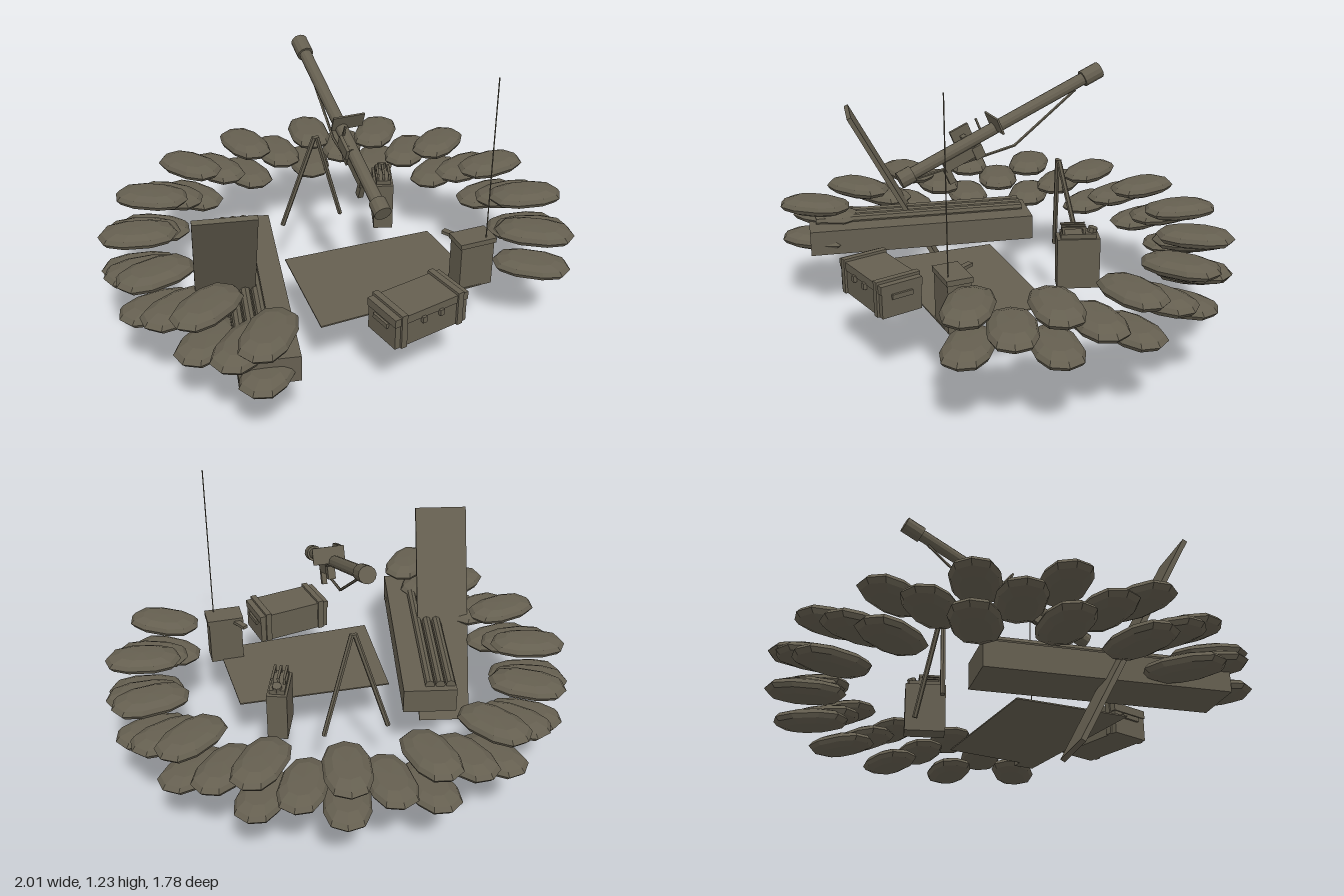
import * as THREE from 'three';

export function createModel() {
  const model = new THREE.Group();
  const drab = new THREE.MeshStandardMaterial({ color: 0x655f50, flatShading: true });
  drab.name = 'olive drab';
  const FLOOR = 0.305;

  const add = (parent, name, geo, x = 0, y = 0, z = 0) => {
    const m = new THREE.Mesh(geo, drab);
    m.name = name;
    m.position.set(x, y, z);
    parent.add(m);
    return m;
  };
  const box = (parent, name, w, h, d, x, y, z) =>
    add(parent, name, new THREE.BoxGeometry(w, h, d), x, y, z);
  const group = (name, x, y, z, ry = 0) => {
    const g = new THREE.Group();
    g.name = name;
    g.position.set(x, y, z);
    g.rotation.y = ry;
    model.add(g);
    return g;
  };
  const rod = (parent, name, a, b, r, sides = 6) => {
    const p = new THREE.Vector3(...a), q = new THREE.Vector3(...b);
    const dir = q.clone().sub(p);
    const m = add(parent, name, new THREE.CylinderGeometry(r, r, dir.length(), sides));
    m.position.copy(p).add(q).multiplyScalar(0.5);
    m.quaternion.setFromUnitVectors(new THREE.Vector3(0, 1, 0), dir.normalize());
    return m;
  };

  // Sandbag: flat-topped pillow, long along z, squared off a little
  const bagGeo = new THREE.LatheGeometry(
    [[0, -0.037], [0.6, -0.034], [0.9, -0.018], [1, 0], [0.9, 0.018], [0.6, 0.034], [0, 0.037]]
      .map(([r, y]) => new THREE.Vector2(r, y)), 10);
  const p = bagGeo.attributes.position;
  for (let i = 0; i < p.count; i++) {
    const x = p.getX(i), z = p.getZ(i), r = Math.hypot(x, z);
    if (r < 1e-6) continue;
    const c = x / r, s = z / r;
    p.setX(i, 0.096 * r * Math.sign(c) * Math.abs(c) ** 0.75);
    p.setZ(i, 0.163 * r * Math.sign(s) * Math.abs(s) ** 0.85);
  }
  bagGeo.computeVertexNormals();

  // Three staggered courses, open at the front
  const wall = group('sandbagWall', 0, 0, 0.05);
  const step = Math.PI / 16;
  [0.345, 0.423, 0.503].forEach((y, row) => {
    const first = row === 1 ? -12 : -13, last = row === 1 ? 10 : 11;
    for (let k = first; k <= last; k += 2) {
      const end = k <= -12;
      const a = k === -13 ? -2.47 : k * step;
      const rx = end ? 0.87 : 0.84, rz = end ? 0.87 : 0.79;
      const bag = add(wall, 'sandbag', bagGeo, rx * Math.sin(a), y, -rz * Math.cos(a));
      bag.rotation.y = Math.atan2(Math.sin(a), -Math.cos(a)) + 0.05 * Math.sin(k * 5 + row);
    }
  });

  // Ground sheet
  const sheet = new THREE.Shape([[-0.23, -0.02], [-0.26, -0.52], [0.46, -0.495], [0.44, -0.04]]
    .map(([x, y]) => new THREE.Vector2(x, y)));
  const mat = add(model, 'groundSheet',
    new THREE.ExtrudeGeometry(sheet, { depth: 0.006, bevelEnabled: false }), 0, FLOOR, 0);
  mat.rotation.x = -Math.PI / 2;

  // Long crate with tubes lying along one side
  const longCrate = group('longCrate', -0.446, FLOOR, 0.272, -0.21);
  box(longCrate, 'crateBody', 0.23, 0.11, 1.0, 0, 0.055, 0);
  for (const x of [-0.09, -0.045, 0])
    rod(longCrate, 'storedTube', [x, 0.118, -0.47], [x, 0.118, 0.47], 0.021, 8);

  // Crate lid leaning across the crate
  const lid = box(model, 'crateLid', 0.235, 1.0, 0.02, -0.578, 0.446, 0.312);
  const up = new THREE.Vector3(-0.095, 0.885, 0.455).normalize();
  const side = new THREE.Vector3(0.978, 0, 0.208);
  side.addScaledVector(up, -side.dot(up)).normalize();
  lid.quaternion.setFromRotationMatrix(
    new THREE.Matrix4().makeBasis(side, up, side.clone().cross(up)));

  // Small crate with battens and latches
  const crate = group('smallCrate', 0.1, FLOOR, 0.63, 0.2);
  box(crate, 'crateBody', 0.344, 0.1, 0.175, 0, 0.05, 0);
  box(crate, 'crateTop', 0.35, 0.035, 0.182, 0, 0.119, 0);
  for (const s of [-1, 1]) {
    box(crate, 'batten', 0.026, 0.148, 0.195, s * 0.135, 0.074, 0);
    box(crate, 'latch', 0.018, 0.026, 0.016, s * 0.042, 0.095, 0.094);
    box(crate, 'endHandle', 0.014, 0.02, 0.09, s * 0.175, 0.085, 0);
  }

  // Radio with whip antenna and handset
  const radio = group('radio', 0.433, FLOOR, 0.447);
  box(radio, 'radioBody', 0.148, 0.2, 0.094, 0, 0.1, 0);
  box(radio, 'radioCover', 0.162, 0.022, 0.105, 0, 0.209, 0);
  rod(radio, 'antenna', [0.042, 0.21, 0.033], [0.042, 0.92, 0.033], 0.0025, 5);
  box(radio, 'handset', 0.025, 0.014, 0.08, -0.062, 0.2, -0.07).rotation.y = 0.5;

  // Fuel can with triple handle and cap
  const can = group('fuelCan', 0.3, FLOOR, -0.15, -0.35);
  box(can, 'canBody', 0.085, 0.215, 0.175, 0, 0.1075, 0);
  box(can, 'canShoulder', 0.065, 0.02, 0.145, 0, 0.224, 0);
  for (const x of [-0.025, 0, 0.025]) {
    box(can, 'handleBar', 0.01, 0.008, 0.1, x, 0.26, 0.02);
    for (const z of [-0.022, 0.062]) box(can, 'handlePost', 0.01, 0.03, 0.01, x, 0.245, z);
  }
  rod(can, 'cap', [0, 0.225, -0.055], [0, 0.252, -0.062], 0.02, 8);

  // Free-standing two-legged rest
  for (const s of [-1, 1])
    rod(model, 'restLeg', [s * 0.006, 0.75, -0.205], [s * 0.14, FLOOR, -0.262], 0.011);

  // Launch tube, raised toward the back
  const launcher = group('launcher', 0, 0.94, 0.056);
  launcher.rotation.x = 0.392;
  rod(launcher, 'launchTube', [0, 0, -0.48], [0, 0, 0.48], 0.026, 12);
  rod(launcher, 'muzzleCollar', [0, 0, -0.485], [0, 0, -0.4], 0.035, 12);
  rod(launcher, 'breechCollar', [0, 0, 0.425], [0, 0, 0.485], 0.035, 12);
  box(launcher, 'sightPlate', 0.135, 0.07, 0.008, 0.024, 0.03, -0.066 + 0.1);
  box(launcher, 'sideSight', 0.014, 0.05, 0.085, -0.045, 0.035, 0.165);
  box(launcher, 'sightArm', 0.04, 0.014, 0.02, -0.025, 0.02, 0.165);
  box(launcher, 'sightPost', 0.008, 0.05, 0.008, -0.015, 0.045, 0.09);
  box(launcher, 'triggerUnit', 0.025, 0.045, 0.15, 0, -0.045, 0.22);
  box(launcher, 'rearGrip', 0.022, 0.065, 0.028, 0, -0.09, 0.29);
  box(launcher, 'frontGrip', 0.032, 0.055, 0.045, 0, -0.055, 0.14);
  // Sling hanging below the tube
  const sling = [[0, 0.75, 0.46], [0, 0.8, 0.2], [0, 0.84, 0], [0, 1.05, -0.28]];
  for (let i = 0; i < 3; i++) rod(model, 'sling', sling[i], sling[i + 1], 0.006, 5);

  return model;
}
